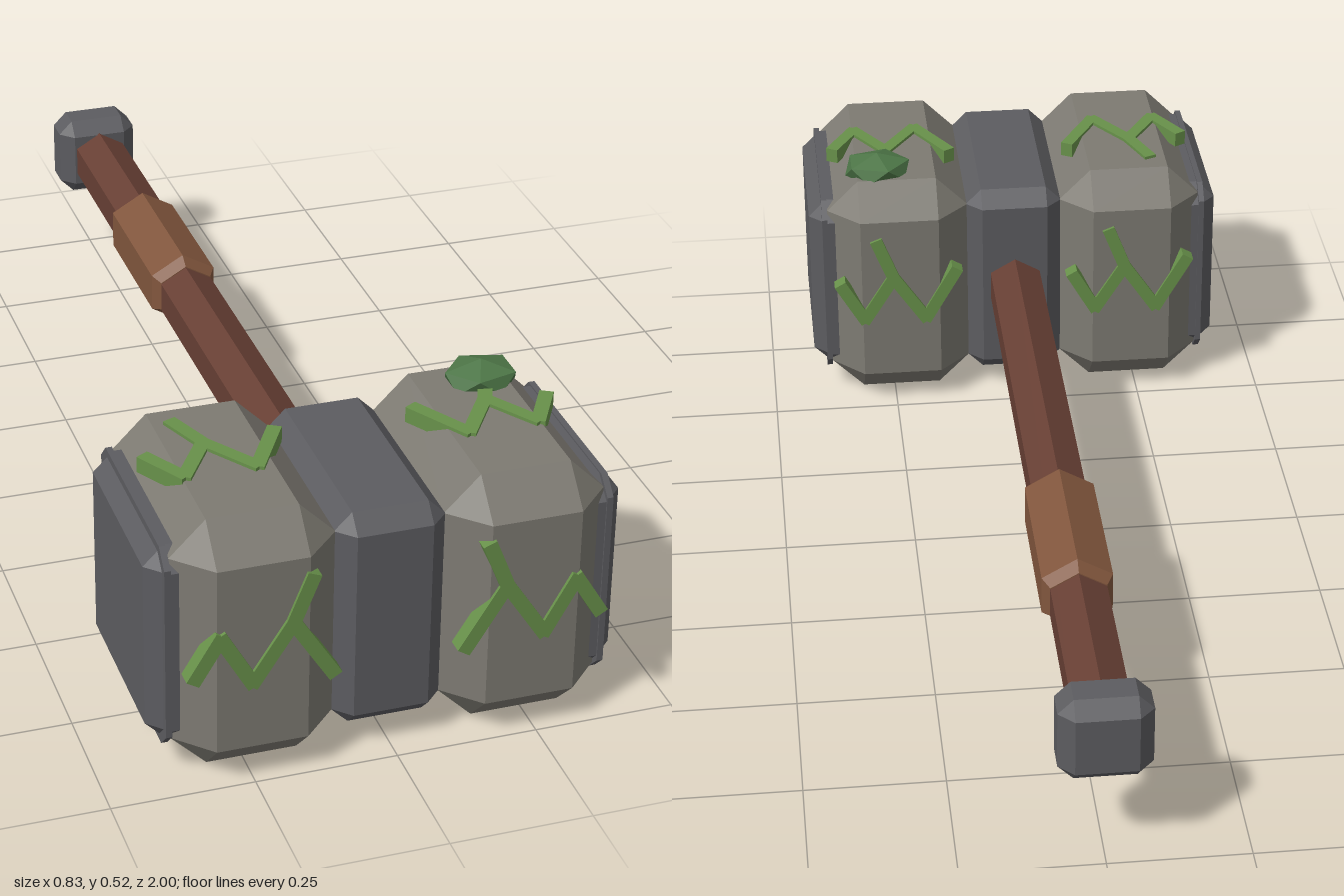
import * as THREE from 'three';
import { ConvexGeometry } from 'three/addons/geometries/ConvexGeometry.js';

const CY = 0.246, CZ = 0.755; // centre of the hammer head

function material(name, color) {
  const m = new THREE.MeshStandardMaterial({ color, flatShading: true });
  m.name = name;
  return m;
}

// Box with all edges cut at 45 degrees; hx, hy, hz are half sizes
function chamferBox(hx, hy, hz, c) {
  const pts = [];
  for (const x of [-1, 1]) for (const y of [-1, 1]) for (const z of [-1, 1]) {
    pts.push(
      new THREE.Vector3(x * hx, y * (hy - c), z * (hz - c)),
      new THREE.Vector3(x * (hx - c), y * hy, z * (hz - c)),
      new THREE.Vector3(x * (hx - c), y * (hy - c), z * hz));
  }
  return new ConvexGeometry(pts);
}

// Thin square plate facing x with cut corners
function rimPlate(thickness, half, cut) {
  const pts = [];
  for (const x of [-1, 1]) for (const y of [-1, 1]) for (const z of [-1, 1]) {
    pts.push(
      new THREE.Vector3(x * thickness / 2, y * half, z * (half - cut)),
      new THREE.Vector3(x * thickness / 2, y * (half - cut), z * half));
  }
  return new ConvexGeometry(pts);
}

export function createModel() {
  const stone = material('stone', 0x7d7a72);
  const metal = material('dark metal', 0x5c5c60);
  const wood = material('handle wood', 0x673f34);
  const leather = material('grip leather', 0x81563d);
  const vineGreen = material('vine green', 0x68914a);
  const mossGreen = material('moss green', 0x4d7647);

  const model = new THREE.Group();
  const add = (name, geo, mat, x, y, z, parent = model) => {
    const mesh = new THREE.Mesh(geo, mat);
    mesh.name = name;
    mesh.position.set(x, y, z);
    parent.add(mesh);
    return mesh;
  };

  // Head: metal core, two stone blocks, rims and end caps
  add('headCore', chamferBox(0.097, 0.207, 0.207, 0.031), metal, 0, CY, CZ);
  for (const s of [-1, 1]) {
    add('stoneBlock', chamferBox(0.142, 0.239, 0.239, 0.063), stone, s * 0.236, CY, CZ);
    add('endRim', rimPlate(0.011, 0.193, 0.03), metal, s * 0.384, CY, CZ);
    add('endCap', chamferBox(0.06, 0.19, 0.19, 0.036), metal, s * 0.355, CY, CZ);
  }

  // Handle, grip and pommel along z, six-sided with a ridge on top
  const shaft = new THREE.CylinderGeometry(0.058, 0.058, 1.52, 6).rotateX(-Math.PI / 2);
  add('handle', shaft, wood, 0, CY + 0.001, -0.16);
  const profile = [[0, -0.167], [0.058, -0.167], [0.073, -0.145], [0.073, 0.145], [0.058, 0.167], [0, 0.167]]
    .map(p => new THREE.Vector2(...p));
  add('grip', new THREE.LatheGeometry(profile, 6).rotateX(-Math.PI / 2), leather, 0, CY + 0.003, -0.415);
  add('pommel', chamferBox(0.081, 0.081, 0.052, 0.027), metal, 0, CY + 0.002, -0.948);

  // Vines: flat bars joining points, sunk into the stone faces
  const mShape = [
    [[-0.121, -0.055], [-0.05, 0.058], [0.019, -0.048], [0.074, 0.05], [0.119, -0.024]],
    [[-0.05, 0.058], [-0.083, 0.14]],
  ];
  const wShape = [
    [[-0.121, 0.035], [-0.075, -0.045], [-0.015, 0.05], [0.05, -0.047], [0.112, 0.06]],
    [[-0.015, 0.05], [-0.047, 0.132]],
  ];
  function vine(name, shape, blockX, flip, rx, ry) {
    const group = new THREE.Group();
    group.name = name;
    group.position.set(blockX, CY, CZ);
    group.rotation.set(rx, ry, 0);
    for (const path of shape) {
      for (let i = 1; i < path.length; i++) {
        const [x0, y0] = path[i - 1], [x1, y1] = path[i];
        const dx = (x1 - x0) * flip, dy = y1 - y0;
        const bar = add('vineBar', new THREE.BoxGeometry(Math.hypot(dx, dy) + 0.012, 0.025, 0.029),
          vineGreen, (x0 + x1) / 2 * flip, (y0 + y1) / 2, 0.2305);
        bar.rotation.z = Math.atan2(dy, dx);
        group.add(bar);
      }
    }
    model.add(group);
  }
  for (const s of [-1, 1]) {
    vine('frontVine', mShape, s * 0.236, s, 0, 0);
    vine('topVine', wShape, s * 0.236, -s, -Math.PI / 2, 0);
    vine('backVine', wShape, s * 0.236, 1, 0, Math.PI);
    vine('bottomVine', wShape, s * 0.236, -s, Math.PI / 2, 0);
  }

  // Moss clump on top of the left block
  const moss = new THREE.IcosahedronGeometry(0.071, 0).rotateZ(0.55).scale(1.03, 0.46, 0.85);
  add('mossClump', moss, mossGreen, 0.272, 0.49, 0.628);

  return model;
}
